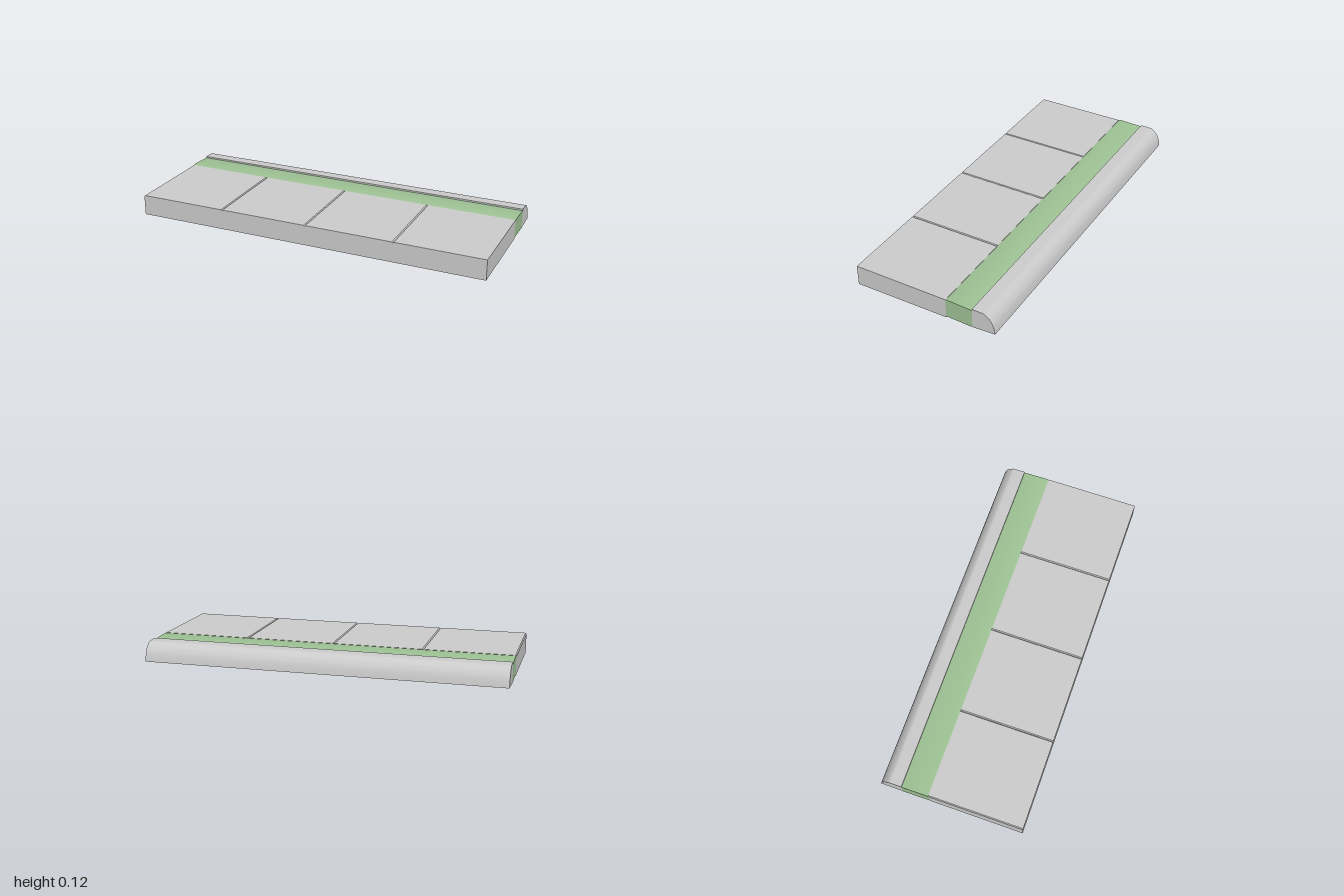
import * as THREE from 'three';
import { toCreasedNormals } from 'three/addons/utils/BufferGeometryUtils.js';

const HALF = 1;          // half length along x
const FRONT = 0.405, SEAM = -0.126, CURB = -0.277;

function part(name, geometry, color = 0xcccccc) {
  const mesh = new THREE.Mesh(
    toCreasedNormals(geometry, 0.5),
    new THREE.MeshStandardMaterial({ color })
  );
  mesh.name = name;
  return mesh;
}

// Sweep a side profile (u = -z, v = y) along the full length of x
function sweepX(shape) {
  return new THREE.ExtrudeGeometry(shape, { depth: 2 * HALF, bevelEnabled: false, curveSegments: 10 })
    .rotateY(Math.PI / 2)
    .translate(-HALF, 0, 0);
}

// Row of four paving slabs, with V joints cut in the top
function pavingGeometry() {
  const top = 0.115, w = 0.005, d = 0.007;
  const s = new THREE.Shape();
  s.moveTo(-HALF, 0);
  s.lineTo(HALF, 0);
  s.lineTo(HALF, top);
  for (const x of [0.5, 0, -0.5]) {
    s.lineTo(x + w, top);
    s.lineTo(x, top - d);
    s.lineTo(x - w, top);
  }
  s.lineTo(-HALF + w, top);
  s.lineTo(-HALF, top - d);
  const g = new THREE.ExtrudeGeometry(s, { depth: FRONT - SEAM, bevelEnabled: false });
  g.translate(0, 0, SEAM);
  // The top falls gently toward the back
  const p = g.attributes.position;
  for (let i = 0; i < p.count; i++) {
    if (p.getY(i) > 0.05) p.setY(i, p.getY(i) - 0.004 * (FRONT - p.getZ(i)) / (FRONT - SEAM));
  }
  g.computeVertexNormals();
  return g;
}

// Grass strip, slightly tilted, with softened top edges
function grassGeometry() {
  const pts = [
    [-SEAM, 0.007], [-CURB - 0.008, 0.001], [-CURB, 0.002],
    [-CURB, 0.105], [-CURB - 0.005, 0.106], [-SEAM + 0.01, 0.112], [-SEAM, 0.109]
  ];
  return sweepX(new THREE.Shape(pts.map(([u, v]) => new THREE.Vector2(u, v))));
}

// Curb stone with a rounded outer shoulder
function curbGeometry() {
  const s = new THREE.Shape();
  s.moveTo(-CURB, 0.001);
  s.lineTo(0.405, 0.008);
  s.bezierCurveTo(0.397, 0.065, 0.385, 0.085, 0.352, 0.108);
  s.quadraticCurveTo(0.346, 0.112, 0.335, 0.112);
  s.lineTo(-CURB, 0.114);
  return sweepX(s);
}

export function createModel() {
  const model = new THREE.Group();
  model.name = 'sidewalk';
  model.add(
    part('pavingSlabs', pavingGeometry()),
    part('grassStrip', grassGeometry(), 0x9ec294),
    part('curb', curbGeometry())
  );
  return model;
}
